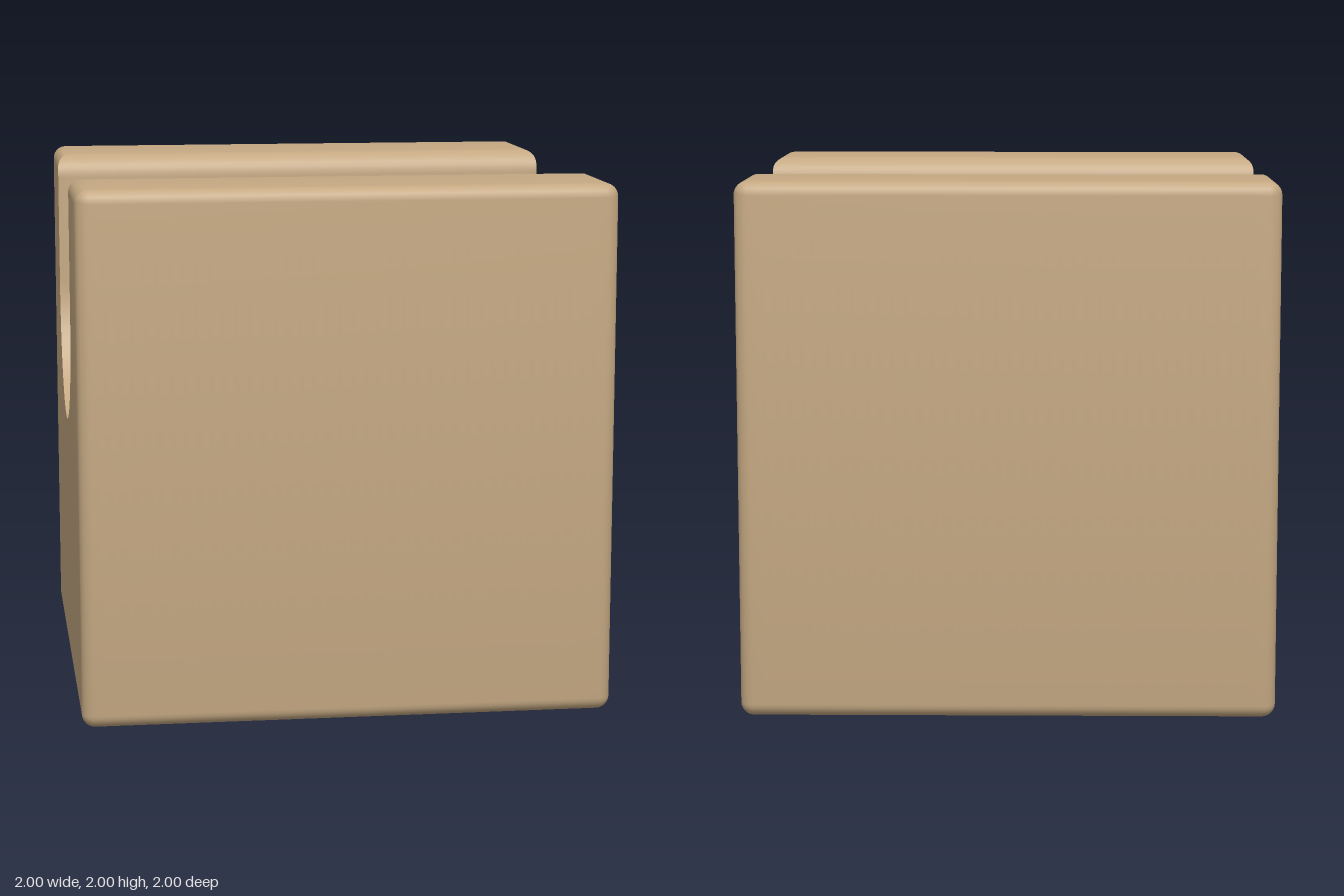
import * as THREE from 'three';
import { toCreasedNormals } from 'three/addons/utils/BufferGeometryUtils.js';

const EDGE = 0.05;    // rounding of the outer edges
const LIP = 0.09;     // rounding of the channel's upper edges
const HALF = 0.478;   // half width (and floor radius) of the channel

// Channel floor: an S-shaped ramp falling towards +x
function floorHeight(x) {
  const t = THREE.MathUtils.smoothstep(x, -1, 1);
  return THREE.MathUtils.lerp(1.0, 0.495, t);
}

function arc(out, cu, cy, r, from, to, steps) {
  for (let i = 0; i <= steps; i++) {
    const a = from + (to - from) * i / steps;
    out.push(new THREE.Vector2(cu + r * Math.cos(a), cy + r * Math.sin(a)));
  }
}

// Cross-section at x, as (u = -z, y); outer sides are drawn in by inset
function section(x, inset) {
  const p = [], P = Math.PI;
  const r = Math.max(EDGE - inset, 0.002);
  const side = 1 - inset - r, low = inset + r, high = 2 - inset - r;
  const lipEnd = Math.asin((LIP - inset) / LIP);
  arc(p, -side, low, r, P, 1.5 * P, 6);
  arc(p, side, low, r, 1.5 * P, 2 * P, 6);
  arc(p, side, high, r, 0, 0.5 * P, 6);
  arc(p, HALF + LIP, 2 - LIP, LIP, P - lipEnd, P, 8);
  arc(p, 0, floorHeight(x) + HALF, HALF, 0, -P, 40);
  arc(p, -HALF - LIP, 2 - LIP, LIP, 0, lipEnd, 8);
  arc(p, -side, high, r, 0.5 * P, P, 6);
  return p;
}

function blockGeometry() {
  // Stations along x: rounded end, ramp, rounded end
  const stations = [];
  const ROUND = 6, RAMP = 40;
  for (let i = 0; i < ROUND; i++) {
    const a = (1 - i / ROUND) * Math.PI / 2;
    stations.push([-1 + EDGE - EDGE * Math.sin(a), EDGE * (1 - Math.cos(a))]);
  }
  for (let i = 0; i <= RAMP; i++) stations.push([(1 - EDGE) * (2 * i / RAMP - 1), 0]);
  for (let i = ROUND - 1; i >= 0; i--) stations.push([-stations[i][0], stations[i][1]]);

  const loops = stations.map(([x, inset]) => section(x, inset));
  const pos = [];
  const put = (i, j) => pos.push(stations[i][0], loops[i][j].y, -loops[i][j].x);
  const n = loops[0].length, last = loops.length - 1;

  // Skin between neighbouring sections
  for (let i = 0; i < last; i++) {
    for (let j = 0; j < n; j++) {
      const k = (j + 1) % n;
      put(i, j); put(i, k); put(i + 1, k);
      put(i, j); put(i + 1, k); put(i + 1, j);
    }
  }
  // Flat U-shaped ends
  for (const [a, b, c] of THREE.ShapeUtils.triangulateShape(loops[last], [])) {
    put(last, a); put(last, b); put(last, c);
  }
  for (const [a, b, c] of THREE.ShapeUtils.triangulateShape(loops[0], [])) {
    put(0, a); put(0, c); put(0, b);
  }
  const g = new THREE.BufferGeometry();
  g.setAttribute('position', new THREE.Float32BufferAttribute(pos, 3));
  return toCreasedNormals(g, 0.6);
}

export function createModel() {
  const wood = new THREE.MeshStandardMaterial({ color: 0xc4a882 });
  wood.name = 'wood';
  const block = new THREE.Mesh(blockGeometry(), wood);
  block.name = 'rampBlock';
  const model = new THREE.Group();
  model.name = 'channelBlock';
  model.add(block);
  return model;
}
